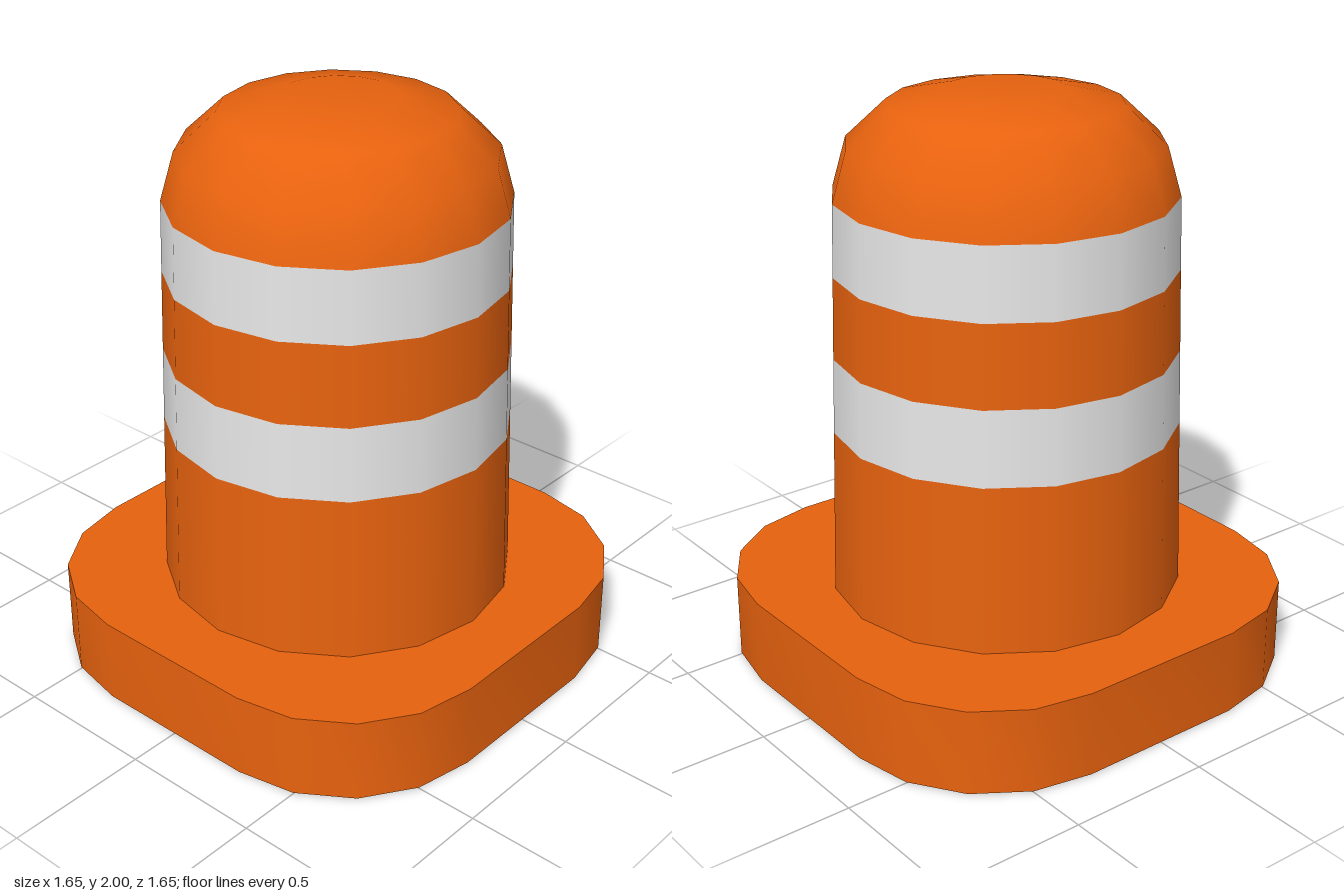
import * as THREE from 'three';
import { toCreasedNormals } from 'three/addons/utils/BufferGeometryUtils.js';

const SIDES = 16;
const BASE_TOP = 0.3;
const BODY_TOP = 1.665;

// Radius of the tapered body at height y
const radiusAt = (y) =>
  THREE.MathUtils.mapLinear(y, BASE_TOP, BODY_TOP, 0.603, 0.567);

function lathe(points) {
  return new THREE.LatheGeometry(points.map(([r, y]) => new THREE.Vector2(r, y)), SIDES);
}

// Square slab with large round corners, standing on y = 0
function baseGeometry() {
  const flat = 0.3, radius = 0.525, steps = 4;
  const points = [];
  for (let corner = 0; corner < 4; corner++) {
    const mid = (corner + 0.5) * Math.PI / 2;
    const cx = Math.sign(Math.cos(mid)) * flat;
    const cy = Math.sign(Math.sin(mid)) * flat;
    for (let i = 0; i <= steps; i++) {
      const a = (corner + i / steps) * Math.PI / 2;
      points.push(new THREE.Vector2(cx + radius * Math.cos(a), cy + radius * Math.sin(a)));
    }
  }
  const geometry = new THREE.ExtrudeGeometry(new THREE.Shape(points), {
    depth: BASE_TOP - 0.004, bevelEnabled: false,
  });
  geometry.rotateX(-Math.PI / 2).translate(0, 0.004, 0);
  return toCreasedNormals(geometry, 0.7);
}

export function createModel() {
  const material = (name, color) => {
    const m = new THREE.MeshStandardMaterial({ color });
    m.name = name;
    return m;
  };
  const orange = material('orange', 0xee650f);
  const white = material('white', 0xeeeeee);
  const darkGrey = material('darkGrey', 0x424242);

  const model = new THREE.Group();
  model.name = 'trafficBarrel';
  const add = (name, geometry, mat) => {
    const mesh = new THREE.Mesh(geometry, mat);
    mesh.name = name;
    model.add(mesh);
    return mesh;
  };

  add('base', baseGeometry(), orange);

  // Dark round patch under the base
  const underside = add('underside', new THREE.CircleGeometry(0.66, SIDES), darkGrey);
  underside.rotation.x = Math.PI / 2;

  // Tapered body in alternating bands
  const bands = [
    ['lowerBody', BASE_TOP, 0.88, orange],
    ['lowerStripe', 0.88, 1.14, white],
    ['middleBody', 1.14, 1.42, orange],
    ['upperStripe', 1.42, BODY_TOP, white],
  ];
  for (const [name, y0, y1, mat] of bands) {
    add(name, lathe([[radiusAt(y0), y0], [radiusAt(y1), y1]]), mat);
  }

  // Rounded cap
  add('dome', lathe([
    [radiusAt(BODY_TOP), BODY_TOP], [0.52, 1.83], [0.385, 1.957], [0.2, 2], [0, 2],
  ]), orange);

  return model;
}
